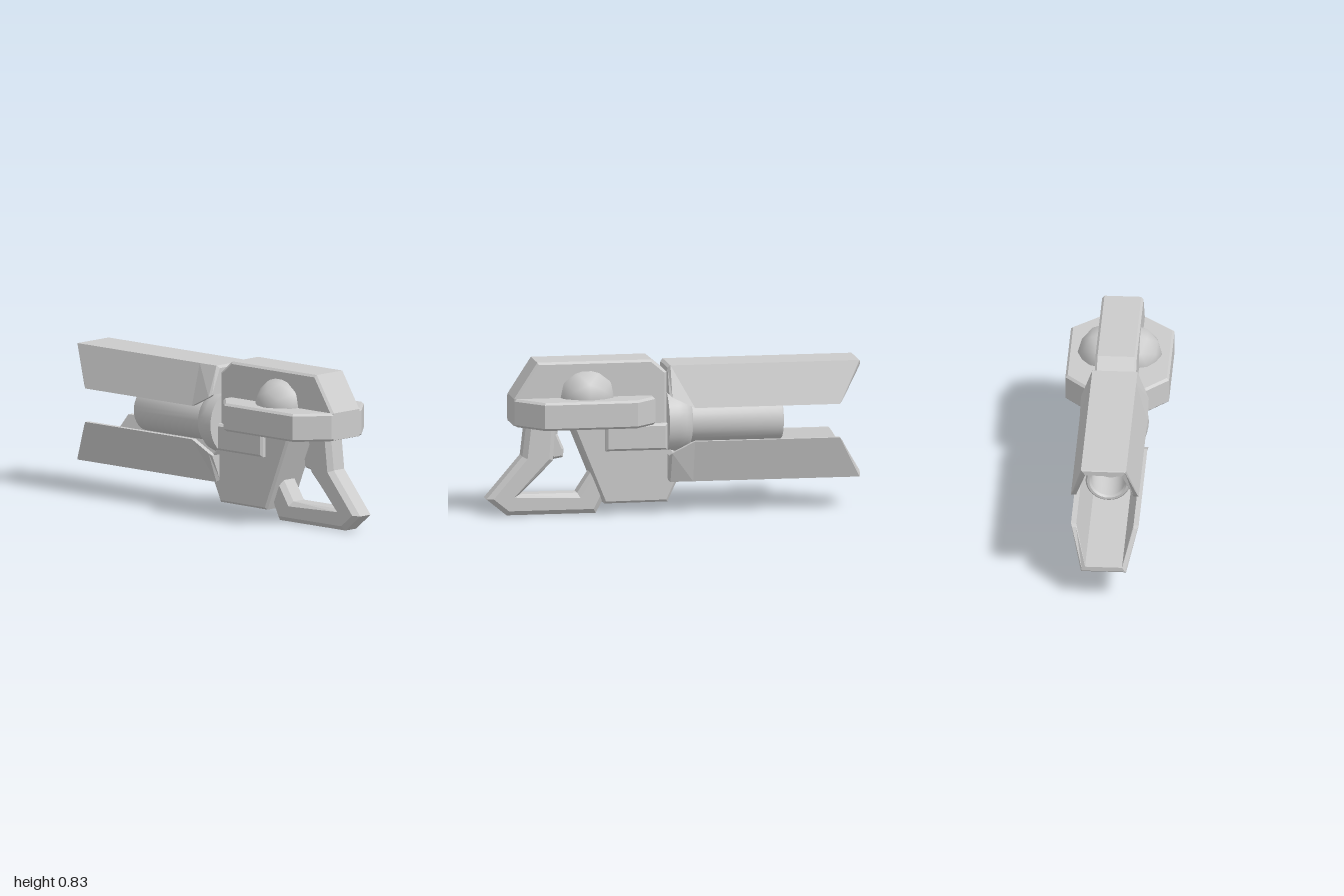
import * as THREE from 'three';
import { toCreasedNormals } from 'three/addons/utils/BufferGeometryUtils.js';

const material = new THREE.MeshStandardMaterial({ color: 0xcccccc });

// Chamfered slab: outline keeps its size, thickness is centred on z = 0.
function slab(points, thickness, bevel) {
  const shape = new THREE.Shape(points.map(([x, y]) => new THREE.Vector2(x, y)));
  const geometry = new THREE.ExtrudeGeometry(shape, {
    depth: thickness - 2 * bevel, bevelEnabled: true, bevelSegments: 1,
    bevelSize: bevel, bevelThickness: bevel, bevelOffset: -bevel,
  });
  return geometry.translate(0, 0, bevel - thickness / 2);
}

// Channel section: outer wall first, then inner wall back to the start.
function channelSection(xTop, xLow, top, low, inset = 0) {
  const w = 0.18 - inset, t = 0.12 - inset, y = top - inset, rim = low + inset;
  return [
    [xLow, rim, -w], [xTop, y, -t], [xTop, y, t], [xLow, rim, w],
    [xLow, rim, 0.152], [xTop, top - 0.03, 0.098],
    [xTop, top - 0.03, -0.098], [xLow, rim, -0.152],
  ];
}

// Hollow barrel cover, open below and in front, capped at the rear.
function channelGeometry() {
  const top = 0.313, low = 0.09, rearLow = 0.15;
  const sections = [
    channelSection(-1, -0.892, top, low + 0.008, 0.006),
    channelSection(-0.995, -0.88, top, low),
    channelSection(-0.1, -0.1, top, low),
    channelSection(0.022, 0.022, top, rearLow),
    channelSection(0.036, 0.036, top, rearLow, 0.013),
  ];
  const positions = [];
  const quad = (a, b, c, d) => positions.push(...a, ...b, ...c, ...a, ...c, ...d);
  for (let k = 0; k < sections.length - 1; k++) {
    const s = sections[k], n = sections[k + 1];
    for (let i = 0; i < 8; i++) {
      const j = (i + 1) % 8;
      quad(s[i], s[j], n[j], n[i]);
    }
  }
  const f = sections[0], r = sections[sections.length - 1];
  for (let i = 0; i < 3; i++) quad(f[i], f[7 - i], f[6 - i], f[i + 1]);
  quad(r[0], r[1], r[2], r[3]);
  const geometry = new THREE.BufferGeometry();
  geometry.setAttribute('position', new THREE.Float32BufferAttribute(positions, 3));
  geometry.computeVertexNormals();
  return geometry;
}

export function createModel() {
  const model = new THREE.Group();
  model.name = 'blaster';
  const add = (name, geometry, x = 0, y = 0, z = 0) => {
    const mesh = new THREE.Mesh(geometry, material);
    mesh.name = name;
    mesh.position.set(x, y, z);
    model.add(mesh);
    return mesh;
  };

  // Main body
  add('body', slab([
    [0.04, 0.76], [0.04, 0.38], [-0.015, 0.32], [-0.015, 0.17], [0.035, 0.062],
    [0.375, 0.06], [0.55, 0.49], [0.86, 0.49], [0.86, 0.635], [0.735, 0.827], [0.12, 0.827],
  ], 0.22, 0.012));

  // Wide ledge wrapping the rear of the body
  const ledge = slab([
    [0.11, -0.16], [0.225, -0.275], [0.725, -0.275], [0.86, -0.115],
    [0.86, 0.115], [0.725, 0.275], [0.225, 0.275], [0.11, 0.16],
  ], 0.15, 0.012).rotateX(Math.PI / 2);
  add('ledge', ledge, 0, 0.561, 0);

  // Domes and side plates on both flanks
  for (const [side, s] of [['left', 1], ['right', -1]]) {
    add(side + 'Dome', new THREE.IcosahedronGeometry(0.155, 1), 0.468, 0.635, 0.07 * s);
    const plate = slab([[0.04, 0.345], [0.372, 0.345], [0.372, 0.487], [0.04, 0.487]], 0.08, 0.012);
    add(side + 'Plate', plate, 0, 0, 0.1 * s);
  }

  // Barrel covers, the lower one being the upper one turned over
  add('upperCover', channelGeometry(), 0, 0.482, 0);
  add('lowerCover', channelGeometry(), 0, 0.482, 0).rotation.x = Math.PI;

  // Hollow barrel with a flared collar at the rear
  const profile = [
    [0, -0.4], [0.09, -0.4], [0.09, -0.58], [0.1, -0.59], [0.112, -0.59], [0.12, -0.58],
    [0.12, -0.1], [0.145, -0.09], [0.165, -0.06], [0.177, -0.02], [0.18, 0.035], [0, 0.035],
  ].map(([r, x]) => new THREE.Vector2(r, x));
  const barrel = toCreasedNormals(new THREE.LatheGeometry(profile, 32), 0.7);
  add('barrel', barrel, 0, 0.482, 0).rotation.z = -Math.PI / 2;

  // Grip loop
  add('grip', slab([
    [0.36, 0.1], [0.41, 0.002], [0.89, 0.002], [0.998, 0.09], [0.805, 0.315], [0.78, 0.53],
    [0.625, 0.53], [0.64, 0.29], [0.82, 0.113], [0.51, 0.113], [0.44, 0.22], [0.39, 0.22],
  ], 0.13, 0.025));

  // Trigger
  add('trigger', slab([
    [0.595, 0.52], [0.615, 0.43], [0.58, 0.35], [0.585, 0.305], [0.64, 0.295], [0.69, 0.4], [0.69, 0.52],
  ], 0.08, 0.012));

  return model;
}
